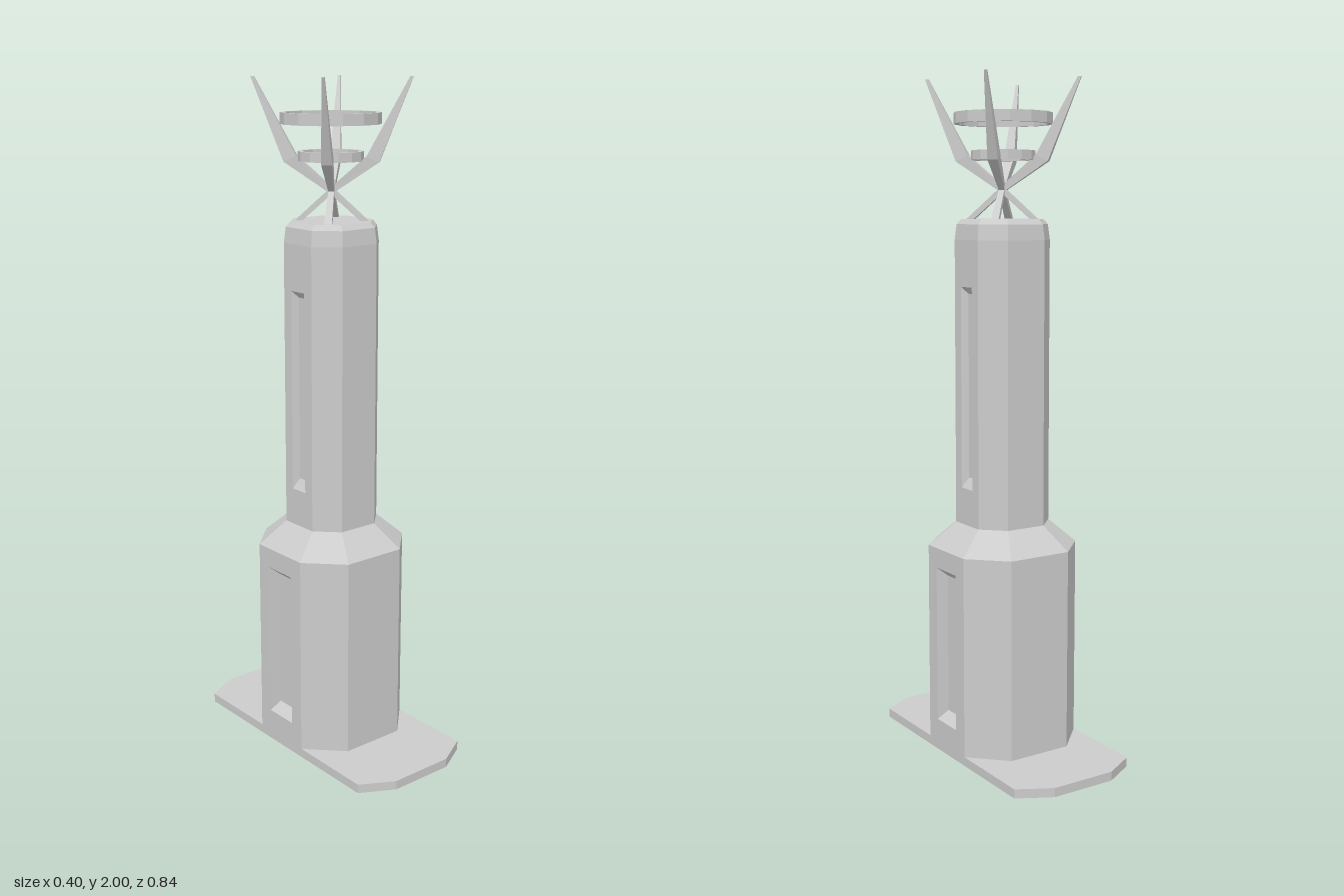
import * as THREE from 'three';

const material = new THREE.MeshStandardMaterial({ color: 0xcccccc, flatShading: true });

// Skins a list of equal-length loops, counterclockwise seen from the end of the list
function loft(rings, { capStart = false, capEnd = false, skip = () => false } = {}) {
  const pos = [];
  const tri = (a, b, c) => pos.push(...a, ...b, ...c);
  for (let s = 0; s < rings.length - 1; s++) {
    const a = rings[s], b = rings[s + 1], n = a.length;
    for (let i = 0; i < n; i++) {
      if (skip(s, i)) continue;
      const j = (i + 1) % n;
      tri(a[i], a[j], b[j]);
      tri(a[i], b[j], b[i]);
    }
  }
  const first = rings[0], last = rings[rings.length - 1];
  for (let i = 1; i < first.length - 1; i++) {
    if (capStart) tri(first[0], first[i + 1], first[i]);
    if (capEnd) tri(last[0], last[i], last[i + 1]);
  }
  const geometry = new THREE.BufferGeometry();
  geometry.setAttribute('position', new THREE.Float32BufferAttribute(pos, 3));
  geometry.computeVertexNormals();
  return geometry;
}

// Chamfered rectangle at height y: half sizes w, d and half lengths of the straight edges
function octagon(y, w, d, edgeX, edgeZ) {
  return [[w, edgeZ], [w, -edgeZ], [edgeX, -d], [-edgeX, -d],
    [-w, -edgeZ], [-w, edgeZ], [-edgeX, d], [edgeX, d]].map(([x, z]) => [x, y, z]);
}

// Upright rectangle facing +x
function rect(x, y0, y1, h) {
  return [[x, y0, h], [x, y0, -h], [x, y1, -h], [x, y1, h]];
}

export function createModel() {
  const group = new THREE.Group();
  const add = (name, geometry, angle = 0) => {
    const mesh = new THREE.Mesh(geometry, material);
    mesh.name = name;
    mesh.rotation.y = angle;
    group.add(mesh);
  };

  // Base plate
  add('basePlate', loft([octagon(0, 0.2, 0.42, 0.1, 0.365), octagon(0.027, 0.2, 0.42, 0.1, 0.365)],
    { capStart: true, capEnd: true }));

  // Stepped octagonal tower; its +x and -x walls are left open for the recessed panels
  const profile = [[0.027, 0.2, 0.1], [0.63, 0.2, 0.1], [0.7, 0.125, 0.063],
    [1.54, 0.125, 0.063], [1.585, 0.12, 0.06], [1.6, 0.108, 0.054]];
  add('tower', loft(profile.map(([y, w, c]) => octagon(y, w, w, c, c)),
    { capEnd: true, skip: (s, i) => (s === 0 || s === 2) && i % 4 === 0 }));

  // Side walls with sunken panels
  const lower = loft([rect(0.2, 0.027, 0.63, 0.1), rect(0.2, 0.095, 0.57, 0.054),
    rect(0.165, 0.118, 0.542, 0.048)], { capEnd: true });
  const upper = loft([rect(0.125, 0.7, 1.54, 0.063), rect(0.125, 0.81, 1.405, 0.03),
    rect(0.105, 0.84, 1.385, 0.02)], { capEnd: true });
  for (const angle of [0, Math.PI]) {
    add('lowerPanel', lower, angle);
    add('upperPanel', upper, angle);
  }

  // Crossing crown prongs: inner radius, y, outer radius, y, half width
  const prong = loft([
    [-0.107, 1.598, -0.085, 1.598, 0.011],
    [-0.004, 1.692, 0.004, 1.677, 0.008],
    [0.1, 1.782, 0.136, 1.765, 0.015],
    [0.219, 2, 0.229, 2, 0.004],
  ].map(([ri, yi, ro, yo, w]) => [[ri, yi, -w], [ri, yi, w], [ro, yo, w], [ro, yo, -w]]),
  { capStart: true, capEnd: true });
  for (let i = 0; i < 4; i++) add('crownProng', prong, Math.PI / 4 + i * Math.PI / 2);

  // Hoops held between the prongs
  const hoop = (name, y0, y1, inner, outer) => {
    const section = [[outer, y0], [outer, y1], [inner, y1], [inner, y0], [outer, y0]];
    const geometry = new THREE.LatheGeometry(section.map(([r, y]) => new THREE.Vector2(r, y)), 14);
    add(name, geometry.translate(0, 0, -0.004));
  };
  hoop('upperHoop', 1.87, 1.902, 0.132, 0.144);
  hoop('lowerHoop', 1.768, 1.795, 0.081, 0.094);

  return group;
}
